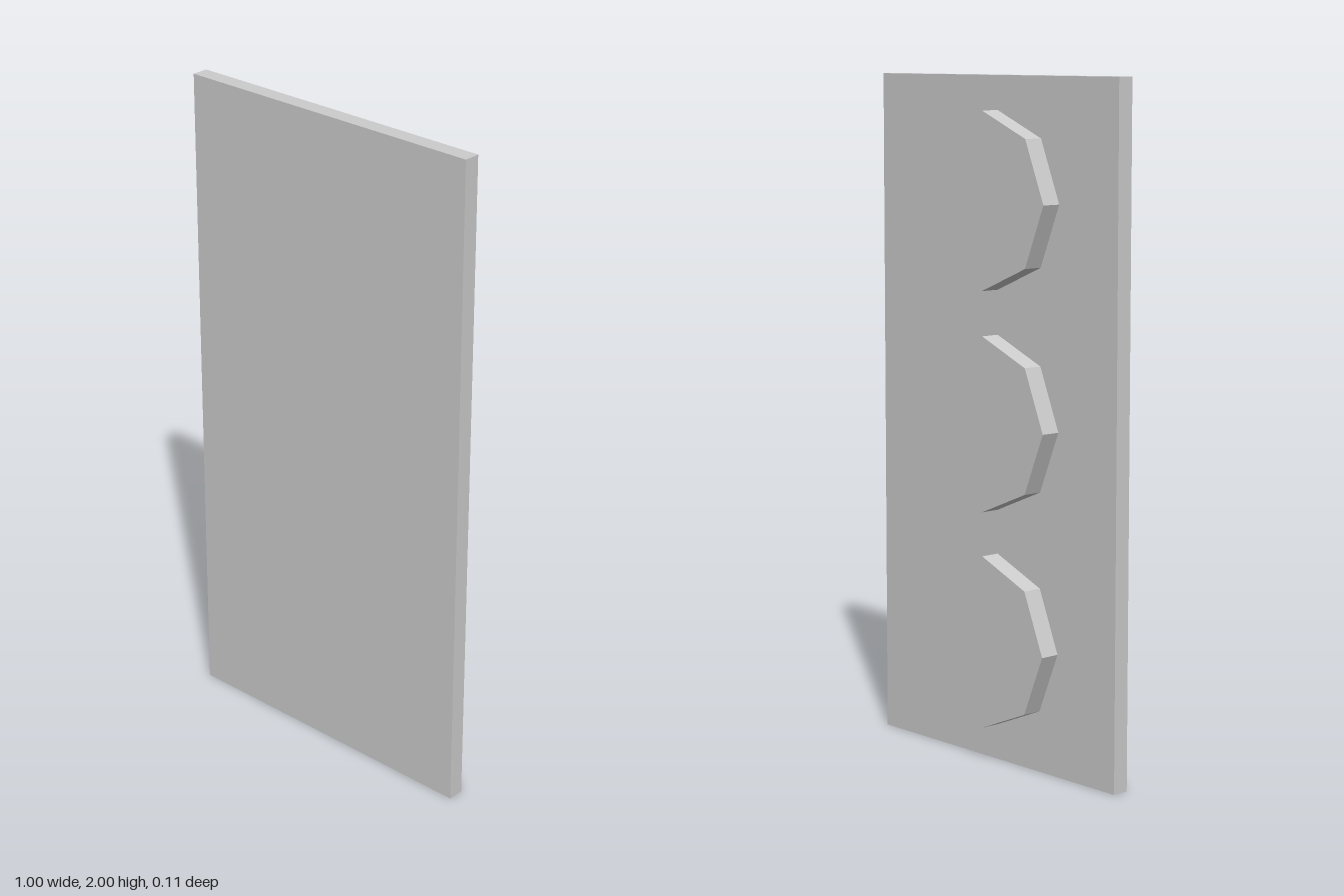
import * as THREE from 'three';

export function createModel() {
  const group = new THREE.Group();
  const material = new THREE.MeshStandardMaterial({ color: 0xcccccc, flatShading: true });

  // Flat upright panel
  const panel = new THREE.Mesh(new THREE.BoxGeometry(1, 2, 0.05), material);
  panel.name = 'panel';
  panel.position.set(0, 1, 0.03);
  group.add(panel);

  // Three octagonal discs stacked on the back, corners pointing up and sideways
  const discGeometry = new THREE.CylinderGeometry(0.256, 0.256, 0.06, 8);
  discGeometry.rotateX(Math.PI / 2);
  ['lowerDisc', 'middleDisc', 'upperDisc'].forEach((name, i) => {
    const disc = new THREE.Mesh(discGeometry, material);
    disc.name = name;
    disc.position.set(-0.01, 0.361 + i * 0.642, -0.025);
    group.add(disc);
  });

  return group;
}
